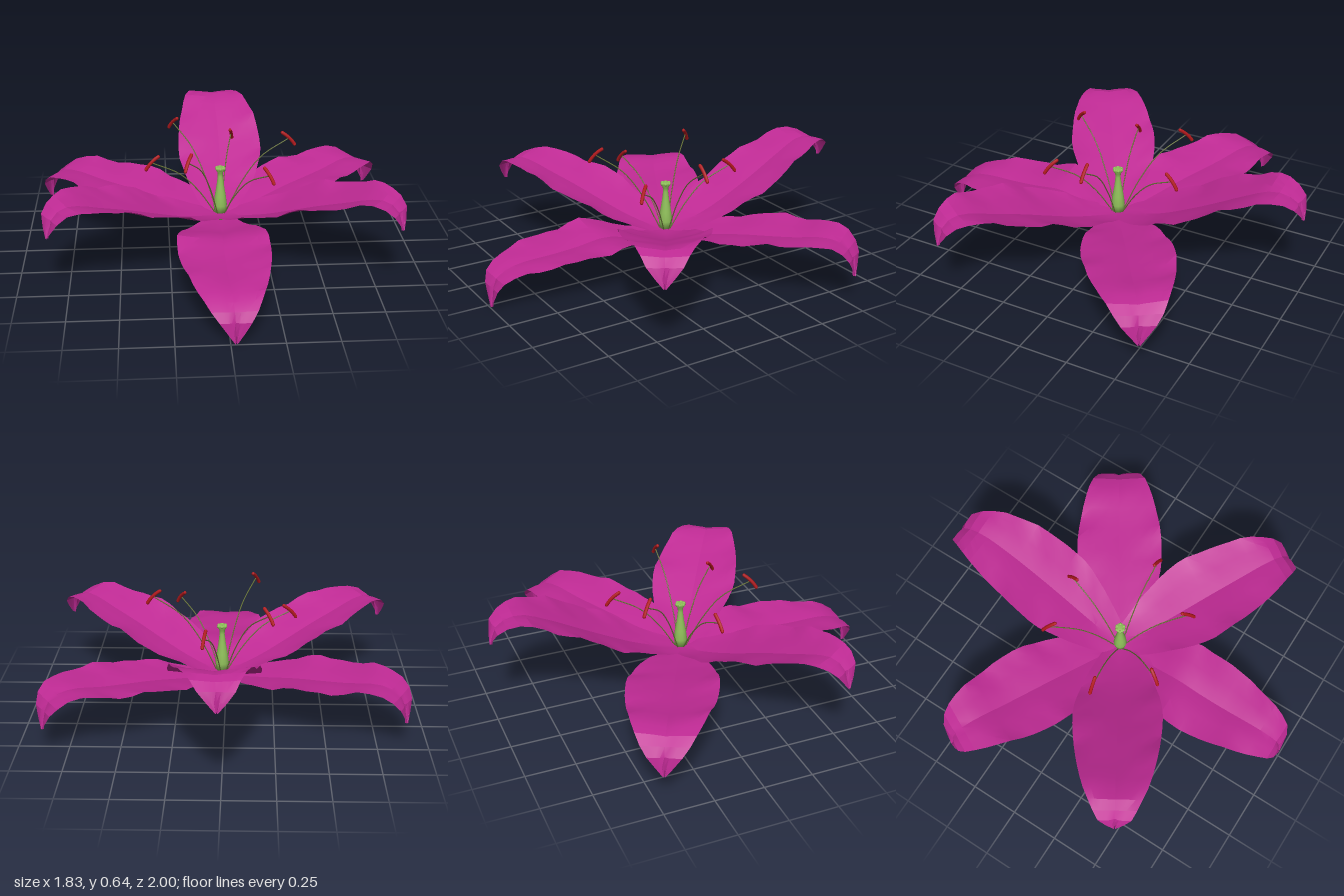
import * as THREE from 'three';
import { toCreasedNormals } from 'three/addons/utils/BufferGeometryUtils.js';

const paint = (color, extra = {}) => new THREE.MeshStandardMaterial({ color, ...extra });
const petalMat = paint(0xbf2a94, { side: THREE.DoubleSide });
const greenMat = paint(0x90c05a);
const filamentMat = paint(0x6b7838);
const antherMat = paint(0xb0181c);

// Half-widths from base to pointed tip, for the raised and the lower ring
const RAISED = [0.07, 0.12, 0.185, 0.224, 0.22, 0.195, 0.158, 0.12, 0.085, 0.006];
const LOWER = [0.06, 0.11, 0.18, 0.222, 0.225, 0.208, 0.172, 0.138, 0.095, 0.006];

// Centre-line profiles as [distance from middle, height]
const BACK = [[0, 0.19], [0.1, 0.215], [0.25, 0.27], [0.4, 0.345], [0.55, 0.425],
  [0.7, 0.505], [0.83, 0.56], [0.91, 0.555], [0.975, 0.52], [1.0, 0.43]];
const INNER = [[0, 0.19], [0.1, 0.205], [0.25, 0.248], [0.4, 0.305], [0.55, 0.362],
  [0.7, 0.41], [0.83, 0.45], [0.91, 0.452], [0.975, 0.41], [1.0, 0.315]];
const OUTER = [[0, 0.17], [0.1, 0.187], [0.25, 0.215], [0.42, 0.247], [0.57, 0.265],
  [0.7, 0.28], [0.85, 0.302], [0.94, 0.287], [1.0, 0.235], [1.02, 0.12]];
const FRONT = [[0, 0.17], [0.1, 0.18], [0.22, 0.2], [0.36, 0.23], [0.5, 0.215],
  [0.65, 0.205], [0.8, 0.2], [0.9, 0.18], [0.975, 0.13], [0.995, 0]];

// Bends a grid along a profile, with a section cupped most near the base,
// a midrib groove, crumpled edges and a crease pulling the tip inward
function petal(name, profile, widths, degrees, cup, seed, bend = 0) {
  const curve = new THREE.CatmullRomCurve3(
    profile.map(([r, y], i) => new THREE.Vector3(widths[i], y, r)), false, 'centripetal');
  const geo = new THREE.PlaneGeometry(2, 1, 8, 20);
  const pos = geo.attributes.position;
  for (let i = 0; i < pos.count; i++) {
    const v = pos.getX(i);
    const u = 0.5 - pos.getY(i);
    const p = curve.getPointAt(u);
    const body = Math.sin(Math.PI * Math.min(1, u * 1.06));
    const cupped = cup * v * v * (1.6 - 1.2 * u);
    const ruffle = 0.01 * (Math.sin(u * 22 + seed + (v > 0 ? 1.7 : 0))
      + 0.5 * Math.sin(u * 45 + seed * 3 + v * 4)) * v * v;
    const rib = Math.max(0, 1 - Math.abs(v) * 3);
    const tip = THREE.MathUtils.smoothstep(u, 0.8, 0.95);
    pos.setXYZ(i,
      v * p.x + bend * body,
      p.y + (cupped + ruffle - 0.014 * rib) * body,
      p.z - 0.014 * rib * tip);
  }
  geo.computeVertexNormals();
  const mesh = new THREE.Mesh(toCreasedNormals(geo, 0.3), petalMat);
  mesh.name = name;
  mesh.rotation.y = THREE.MathUtils.degToRad(degrees);
  return mesh;
}

// Thin arching filament carrying a tilted anther
function stamen(x, y, z) {
  const group = new THREE.Group();
  group.name = 'stamen';
  const reach = Math.hypot(x, z);
  group.rotation.y = Math.atan2(x, z);
  const path = new THREE.CatmullRomCurve3([
    [0.03, 0.2], [reach * 0.32, 0.2 + (y - 0.2) * 0.42],
    [reach * 0.6, 0.2 + (y - 0.2) * 0.76], [reach, y],
  ].map(([r, h]) => new THREE.Vector3(0, h, r)));
  const filament = new THREE.Mesh(new THREE.TubeGeometry(path, 14, 0.003, 5), filamentMat);
  filament.name = 'filament';
  const bow = new THREE.QuadraticBezierCurve3(
    new THREE.Vector3(0, 0.03, -0.034), new THREE.Vector3(0, 0.006, 0.006),
    new THREE.Vector3(0, -0.034, 0.03));
  const anther = new THREE.Group();
  anther.name = 'anther';
  anther.position.set(0, y, reach);
  anther.add(new THREE.Mesh(new THREE.TubeGeometry(bow, 6, 0.009, 7), antherMat));
  for (const t of [0, 1]) {
    const cap = new THREE.Mesh(new THREE.SphereGeometry(0.009, 7, 5), antherMat);
    cap.position.copy(bow.getPoint(t));
    anther.add(cap);
  }
  anther.children.forEach((m) => { m.name = 'antherPart'; });
  group.add(filament, anther);
  return group;
}

export function createModel() {
  const model = new THREE.Group();
  model.name = 'flower';
  const flower = new THREE.Group();
  flower.name = 'bloom';
  flower.position.x = 0.017;
  model.add(flower);

  // Lower ring of three petals, then the raised ring
  flower.add(
    petal('frontPetal', FRONT, LOWER, 0.5, 0.012, 0.5, -0.015),
    petal('backLeftPetal', OUTER, LOWER, 123, 0.02, 2.1),
    petal('backRightPetal', OUTER, LOWER, -116.5, 0.02, 4.0),
    petal('backPetal', BACK, RAISED, 180, 0.025, 1.2, -0.025),
    petal('frontLeftPetal', INNER, RAISED, 58, 0.042, 3.1),
    petal('frontRightPetal', INNER, RAISED, -59, 0.042, 5.2),
  );

  // Pistil with swollen ovary and slender style
  const profile = [[0, 0.19], [0.03, 0.2], [0.035, 0.24], [0.029, 0.29], [0.019, 0.35],
    [0.013, 0.4], [0.015, 0.42], [0.026, 0.438], [0.024, 0.448], [0, 0.446]];
  const pistil = new THREE.Mesh(
    new THREE.LatheGeometry(profile.map(([r, y]) => new THREE.Vector2(r, y)), 12), greenMat);
  pistil.name = 'pistil';
  flower.add(pistil);

  // Lobes around the stigma
  for (let i = 0; i < 6; i++) {
    const a = (i / 6) * Math.PI * 2;
    const lobe = new THREE.Mesh(new THREE.SphereGeometry(0.009, 7, 5), greenMat);
    lobe.name = 'stigmaLobe';
    lobe.position.set(Math.sin(a) * 0.02, 0.442, Math.cos(a) * 0.02);
    flower.add(lobe);
  }

  // Small green receptacle under the petals
  const receptacle = new THREE.Mesh(new THREE.CylinderGeometry(0.055, 0.035, 0.03, 12), greenMat);
  receptacle.name = 'receptacle';
  receptacle.position.y = 0.165;
  flower.add(receptacle);

  // Six stamens, alternately tall and short
  for (const [x, y, z] of [[-0.235, 0.6, -0.27], [0.08, 0.505, -0.34], [0.35, 0.6, 0],
    [0.225, 0.505, 0.265], [-0.175, 0.6, 0.31], [-0.35, 0.505, 0.06]]) {
    flower.add(stamen(x, y, z));
  }
  return model;
}
